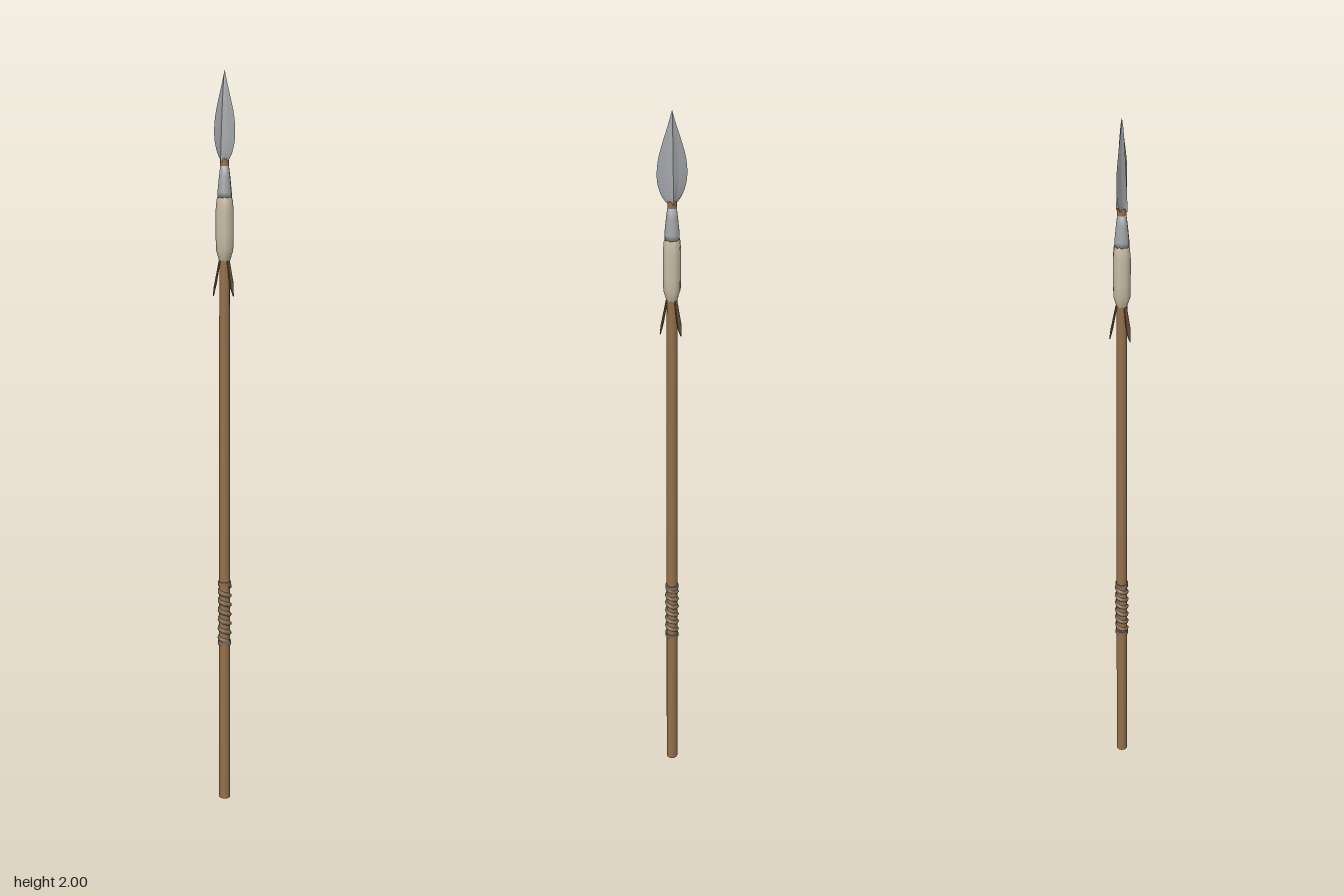
import * as THREE from 'three';

const material = (color, extra = {}) => new THREE.MeshStandardMaterial({ color, ...extra });
const wood = material(0x94704c);
const wrap = material(0x85705a);
const cloth = material(0xc9bda6);
const leather = material(0x6b5038, { side: THREE.DoubleSide });
const steel = material(0xa3a6aa);
const blade = material(0xa3a6aa, { flatShading: true });

function add(parent, name, geometry, mat) {
  const mesh = new THREE.Mesh(geometry, mat);
  mesh.name = name;
  parent.add(mesh);
  return mesh;
}

// Turned part from [radius, height] pairs, bottom to top
function lathe(points, sides) {
  return new THREE.LatheGeometry(points.map(([r, y]) => new THREE.Vector2(r, y)), sides);
}

// Leaf blade: four-sided sections with a raised midrib and hollow faces
function bladeGeometry() {
  const outline = new THREE.SplineCurve([
    [0.011, 1.768], [0.026, 1.789], [0.036, 1.82], [0.038, 1.85], [0.034, 1.885],
    [0.023, 1.925], [0.011, 1.962], [0, 2],
  ].map(([x, y]) => new THREE.Vector2(x, y))).getPoints(24);
  const position = [], index = [], n = 8;
  outline.forEach(({ x, y }, i) => {
    const w = Math.max(x, 0);
    const t = i === outline.length - 1 ? 0 : 0.015 * Math.pow((2 - y) / 0.232, 0.6);
    const section = [[w, 0], [w * 0.4, t * 0.4], [0, t], [-w * 0.4, t * 0.4],
      [-w, 0], [-w * 0.4, -t * 0.4], [0, -t], [w * 0.4, -t * 0.4]];
    section.forEach(([px, pz]) => position.push(px, y, pz));
    if (i === 0) return;
    for (let k = 0; k < n; k++) {
      const a = (i - 1) * n + k, b = (i - 1) * n + (k + 1) % n;
      index.push(a, a + n, b, b, a + n, b + n);
    }
  });
  // Close the base around a centre point
  const centre = position.length / 3;
  position.push(0, outline[0].y, 0);
  for (let k = 0; k < n; k++) index.push(centre, k, (k + 1) % n);
  const geometry = new THREE.BufferGeometry();
  geometry.setAttribute('position', new THREE.Float32BufferAttribute(position, 3));
  geometry.setIndex(index);
  geometry.computeVertexNormals();
  return geometry;
}

// Thin hanging strip, narrow at the knot and pointed at its end
function tailGeometry() {
  const shape = new THREE.Shape();
  shape.moveTo(-0.004, 0);
  shape.lineTo(0.004, 0);
  shape.lineTo(0.007, -0.06);
  shape.lineTo(0.001, -0.094);
  shape.lineTo(-0.006, -0.07);
  shape.closePath();
  return new THREE.ExtrudeGeometry(shape, { depth: 0.003, bevelEnabled: false });
}

export function createModel() {
  const spear = new THREE.Group();
  spear.name = 'spear';

  // Slightly tapered shaft
  add(spear, 'shaft', new THREE.CylinderGeometry(0.014, 0.016, 1.72, 10), wood).position.y = 0.86;

  // Cord wound around the hand grip
  const grip = new THREE.Group();
  grip.name = 'grip';
  spear.add(grip);
  const turns = 6, cordPoints = [];
  for (let i = 0; i <= turns * 12; i++) {
    const a = (i / 12) * Math.PI * 2;
    cordPoints.push(new THREE.Vector3(0.0125 * Math.cos(a), 0.465 + 0.16 * i / (turns * 12), 0.0125 * Math.sin(a)));
  }
  const cord = new THREE.CatmullRomCurve3(cordPoints);
  add(grip, 'gripCord', new THREE.TubeGeometry(cord, 144, 0.0072, 6), wrap);
  for (const y of [0.46, 0.63]) {
    add(grip, 'gripBand', new THREE.CylinderGeometry(0.0185, 0.0185, 0.012, 10), wrap).position.y = y;
  }

  // Cloth binding below the head
  add(spear, 'binding', lathe([
    [0.012, 1.505], [0.017, 1.522], [0.0225, 1.54], [0.0235, 1.575],
    [0.0235, 1.645], [0.021, 1.672], [0.017, 1.682], [0, 1.683],
  ], 8), cloth);

  // Three leather tails spread evenly below the binding
  for (let i = 0; i < 3; i++) {
    const pivot = new THREE.Group();
    pivot.name = 'tailPivot';
    pivot.rotation.y = Math.PI / 2 + i * Math.PI * 2 / 3;
    const tail = add(pivot, 'tail', tailGeometry(), leather);
    tail.position.set(0, 1.513, 0.012);
    tail.rotation.x = -0.19;
    spear.add(pivot);
  }

  // Metal socket and its narrow neck collar
  add(spear, 'socket', lathe([
    [0, 1.675], [0.019, 1.676], [0.019, 1.69], [0.015, 1.73], [0.0115, 1.758], [0, 1.759],
  ], 10), steel);
  add(spear, 'neck', new THREE.CylinderGeometry(0.0115, 0.0115, 0.022, 10), wood).position.y = 1.765;
  add(spear, 'blade', bladeGeometry(), blade);

  return spear;
}
